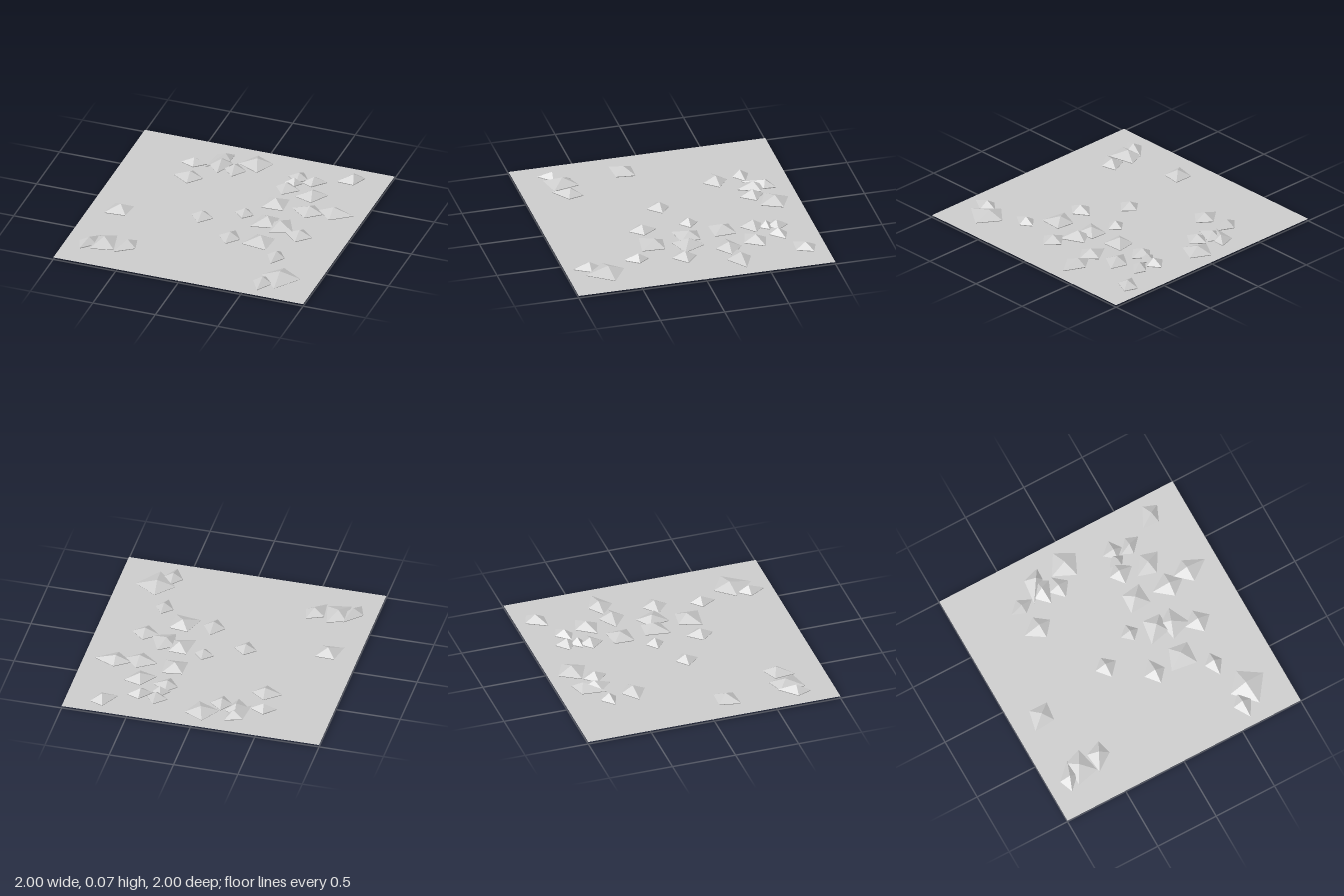
import * as THREE from 'three';

const GROUND_Y = 0.017, RIM_Y = 0.025, PEAK_Y = 0.072;

// Each rock: peak x, peak z, turn in degrees, then four arm lengths
// (right, front, left, back) and an optional skew of the front-back arms.
const rocks = {
  backLeftRock: [
    [-0.48, -0.66, -10, 0.1, 0.06, 0.1, 0.07],
    [-0.28, -0.8, 23, 0.05, 0.19, 0.09, 0.09, 10],
    [-0.28, -0.71, -25, 0.09, 0.13, 0.09, 0.09, 20],
    [-0.16, -0.67, -6, 0.09, 0.1, 0.08, 0.09],
    [-0.03, -0.81, -18, 0.12, 0.13, 0.14, 0.12],
    [-0.44, -0.46, -5, 0.1, 0.1, 0.13, 0.09],
  ],
  backRightRock: [
    [0.73, -0.84, -32, 0.09, 0.08, 0.13, 0.09, 15],
    [0.34, -0.72, 2, 0.07, 0.07, 0.09, 0.09],
    [0.33, -0.64, -15, 0.06, 0.05, 0.08, 0.06],
    [0.465, -0.7, -20, 0.1, 0.07, 0.09, 0.07, 20],
    [0.295, -0.55, 0, 0.11, 0.1, 0.08, 0.08],
    [0.52, -0.51, -24, 0.12, 0.1, 0.13, 0.09, 10],
    [0.3, -0.31, 42, 0.12, 0.12, 0.1, 0.12],
    [0.58, -0.285, 3, 0.11, 0.1, 0.14, 0.1],
    [0.755, -0.33, -2, 0.16, 0.11, 0.12, 0.08],
  ],
  middleRock: [
    [0.135, -0.09, 0, 0.07, 0.07, 0.08, 0.07],
    [-0.155, 0.055, 0, 0.09, 0.1, 0.085, 0.075],
    [0.335, -0.04, 48, 0.1, 0.15, 0.11, 0.1, -6],
    [0.445, -0.01, 26, 0.14, 0.13, 0.08, 0.12, -6],
    [0.63, 0.07, 0, 0.1, 0.1, 0.11, 0.09],
    [-0.765, 0.17, 49, 0.1, 0.135, 0.1, 0.11],
    [0.15, 0.275, 2, 0.08, 0.1, 0.09, 0.11],
    [0.385, 0.245, 55, 0.14, 0.15, 0.1, 0.11],
    [0.575, 0.42, 4, 0.065, 0.11, 0.075, 0.08],
  ],
  frontRock: [
    [-0.82, 0.71, 5, 0.06, 0.11, 0.08, 0.14, 15],
    [-0.715, 0.66, 40, 0.14, 0.15, 0.1, 0.13, -12],
    [-0.535, 0.645, 22, 0.08, 0.145, 0.09, 0.1, 5],
    [0.7, 0.69, -6, 0.16, 0.18, 0.14, 0.13],
    [0.605, 0.81, 0, 0.075, 0.125, 0.075, 0.085],
  ],
};

// Four-sided peak above a rim, with a short skirt tucked in below, open underneath
function rockGeometry(turn, arms, skew) {
  const ring = (scale, y) => arms.map((arm, i) => {
    const a = THREE.MathUtils.degToRad(turn + i * 90 + (i % 2 ? skew : 0));
    return [Math.cos(a) * arm * scale, y, Math.sin(a) * arm * scale];
  });
  const rim = ring(1, RIM_Y), foot = ring(0.8, 0), peak = [0, PEAK_Y, 0];
  const points = [];
  for (let i = 0; i < 4; i++) {
    const j = (i + 1) % 4;
    points.push(...peak, ...rim[j], ...rim[i]);
    points.push(...rim[i], ...rim[j], ...foot[j], ...rim[i], ...foot[j], ...foot[i]);
  }
  const geometry = new THREE.BufferGeometry();
  geometry.setAttribute('position', new THREE.Float32BufferAttribute(points, 3));
  geometry.computeVertexNormals();
  return geometry;
}

export function createModel() {
  const model = new THREE.Group();
  model.name = 'rockyGround';
  const stone = new THREE.MeshStandardMaterial({
    name: 'pale grey stone', color: 0xcccccc, flatShading: true, side: THREE.DoubleSide,
  });

  // Flat square sheet of ground
  const ground = new THREE.Mesh(new THREE.PlaneGeometry(2, 2).rotateX(-Math.PI / 2), stone);
  ground.name = 'ground';
  ground.position.y = GROUND_Y;
  model.add(ground);

  // Scattered rocks
  for (const [name, list] of Object.entries(rocks)) {
    const cluster = new THREE.Group();
    cluster.name = name + 's';
    for (const [x, z, turn, right, front, left, back, skew = 0] of list) {
      const rock = new THREE.Mesh(rockGeometry(turn, [right, front, left, back], skew), stone);
      rock.name = name;
      rock.position.set(x, 0, z);
      cluster.add(rock);
    }
    model.add(cluster);
  }
  return model;
}
